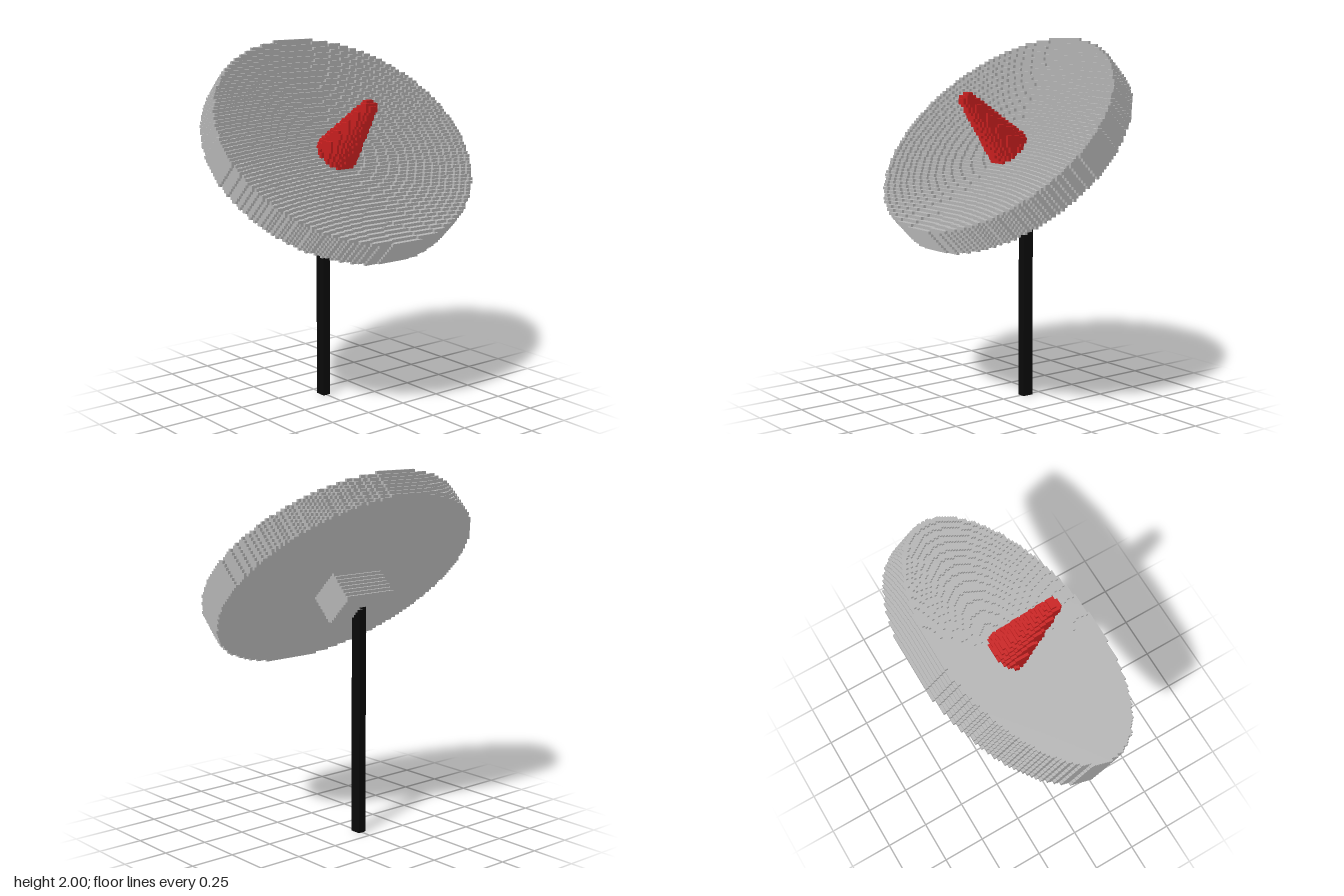
import * as THREE from 'three';

const H = 1 / 64; // size of one small cube
const CENTRE_Y = 1.44; // height of the dish centre
const R = Math.SQRT1_2;

const grey = new THREE.MeshStandardMaterial({ color: 0xb8b8b8 });
grey.name = 'dish grey';
const red = new THREE.MeshStandardMaterial({ color: 0xcc2020 });
red.name = 'feed red';
const black = new THREE.MeshStandardMaterial({ color: 0x0a0a0a });
black.name = 'post black';

// Outward directions of a cube with two side directions each (u x v = n)
const SIDES = [
  [[1, 0, 0], [0, 1, 0], [0, 0, 1]],
  [[-1, 0, 0], [0, 0, 1], [0, 1, 0]],
  [[0, 1, 0], [0, 0, 1], [1, 0, 0]],
  [[0, -1, 0], [1, 0, 0], [0, 0, 1]],
  [[0, 0, 1], [1, 0, 0], [0, 1, 0]],
  [[0, 0, -1], [0, 1, 0], [1, 0, 0]],
];

// Fills a solid with small cubes and keeps the exposed faces only.
// The rule receives s (along the tilted axis), t (up the tilt) and z.
function cubes(name, material, rule) {
  const filled = (i, j, k) => {
    const x = (i + 0.5) * H, y = (j + 0.5) * H - CENTRE_Y;
    return rule((x + y) * R, (y - x) * R, k * H);
  };
  const positions = [], index = [];
  for (let i = -38; i < 38; i++) for (let j = 50; j < 128; j++) for (let k = -52; k <= 52; k++) {
    if (!filled(i, j, k)) continue;
    const c = [(i + 0.5) * H, (j + 0.5) * H, k * H];
    for (const [n, u, v] of SIDES) {
      if (filled(i + n[0], j + n[1], k + n[2])) continue;
      const start = positions.length / 3;
      for (const [a, b] of [[-1, -1], [1, -1], [1, 1], [-1, 1]]) {
        for (let d = 0; d < 3; d++) positions.push(c[d] + (n[d] + a * u[d] + b * v[d]) * H / 2);
      }
      index.push(start, start + 1, start + 2, start, start + 2, start + 3);
    }
  }
  const geometry = new THREE.BufferGeometry();
  geometry.setAttribute('position', new THREE.Float32BufferAttribute(positions, 3));
  geometry.setIndex(index);
  geometry.computeVertexNormals();
  const mesh = new THREE.Mesh(geometry, material);
  mesh.name = name;
  return mesh;
}

// Oval dish: flat back, straight rim, hollowed front
const BACK = -0.085, FRONT = 0.09, FLOOR = -0.06;
const inDish = (s, t, z) => {
  const r = Math.hypot(t / 0.704, z / 0.788);
  if (r > 1 || s < BACK || s > FRONT) return false;
  return s <= FLOOR + (FRONT - FLOOR) * Math.pow(r / 0.98, 1.6);
};

// Tapered feed horn standing on the dish floor
const inHorn = (s, t, z) => {
  if (s < -0.07 || s > 0.365 || inDish(s, t, z)) return false;
  return Math.hypot(t, z) <= THREE.MathUtils.mapLinear(s, -0.07, 0.365, 0.118, 0.036);
};

// Square mounting block behind the dish
const inBlock = (s, t, z) => s < BACK && s > -0.262 && Math.abs(t) < 0.102 && Math.abs(z) < 0.16;

export function createModel() {
  const model = new THREE.Group();
  model.name = 'dishAntenna';
  model.add(
    cubes('dish', grey, inDish),
    cubes('feedHorn', red, inHorn),
    cubes('mountingBlock', grey, inBlock),
  );

  // Upright post
  const post = new THREE.Mesh(new THREE.BoxGeometry(4 * H, 1.27, 3 * H), black);
  post.name = 'post';
  post.position.set(-10 * H, 0.635, 0);
  model.add(post);
  return model;
}
